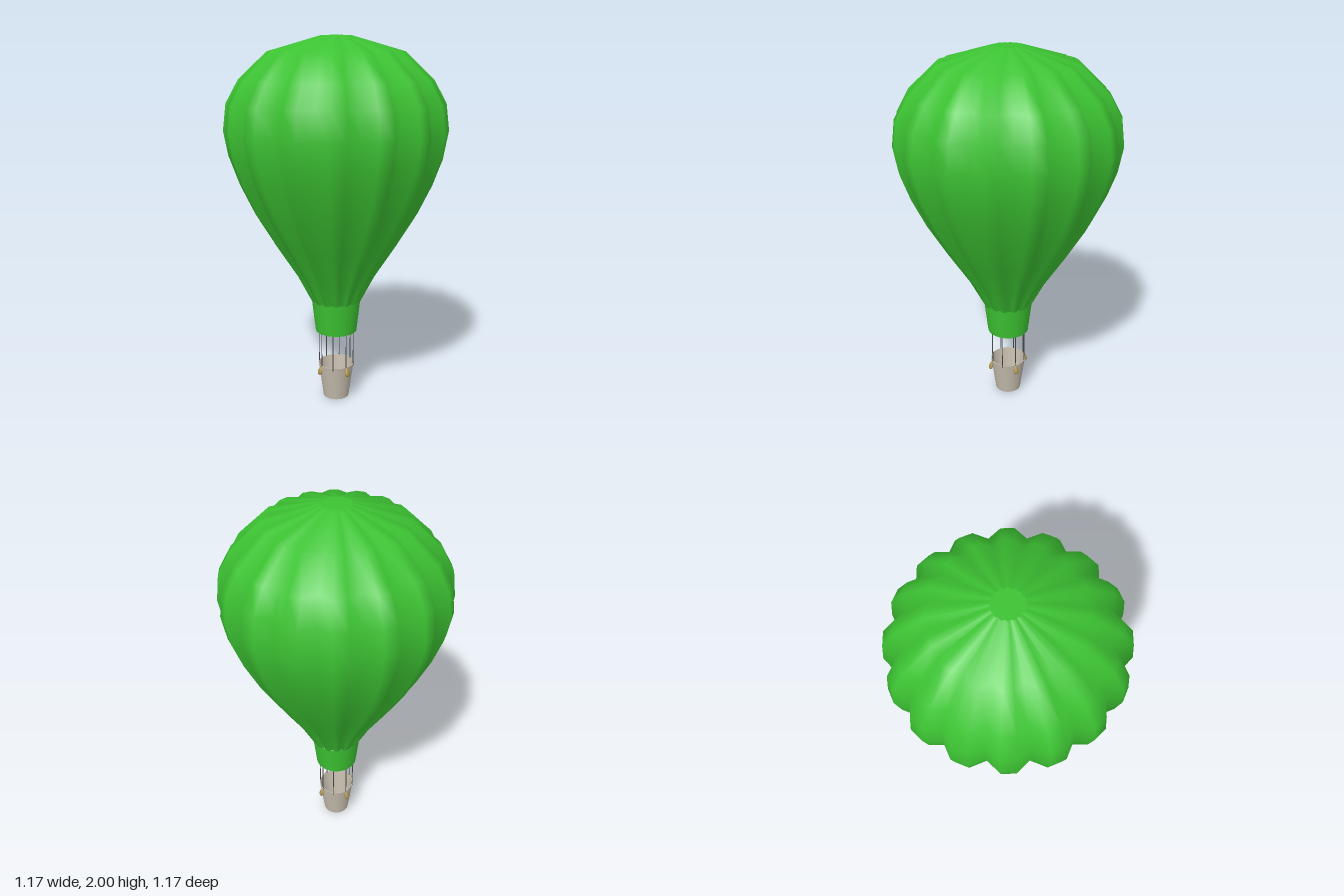
import * as THREE from 'three';
import { mergeVertices, toCreasedNormals } from 'three/addons/utils/BufferGeometryUtils.js';

const material = (color) => new THREE.MeshStandardMaterial({ color, side: THREE.DoubleSide });
const green = material(0x3cc232);
const wicker = material(0xc4bbac);
const rope = material(0x4a4a4a);
const canvas = material(0xa8924e);

const GORES = 16;
const lathe = (profile, segments) =>
  new THREE.LatheGeometry(profile.map(([r, y]) => new THREE.Vector2(r, y)), segments);

function addMesh(parent, name, geometry, mat) {
  const mesh = new THREE.Mesh(geometry, mat);
  mesh.name = name;
  parent.add(mesh);
  return mesh;
}

// Pull every third meridian inward to make the seams between the gores
function scallop(geometry) {
  const p = geometry.attributes.position;
  for (let i = 0; i < p.count; i++) {
    const step = Math.round(Math.atan2(p.getX(i), p.getZ(i)) / (Math.PI * 2) * GORES * 3);
    const k = step % 3 === 0 ? 0.905 : 1;
    p.setXYZ(i, p.getX(i) * k, p.getY(i), p.getZ(i) * k);
  }
  geometry.deleteAttribute('uv');
  geometry.deleteAttribute('normal');
  const merged = mergeVertices(geometry, 1e-5);
  merged.computeVertexNormals();
  return merged;
}

export function createModel() {
  const model = new THREE.Group();
  model.name = 'hotAirBalloon';

  // Gored envelope with a flat crown
  const envelope = [
    [0.139, 0.58], [0.219, 0.735], [0.337, 0.92], [0.444, 1.1], [0.518, 1.255],
    [0.566, 1.39], [0.589, 1.52], [0.571, 1.66], [0.504, 1.78], [0.355, 1.92], [0.078, 2],
  ];
  addMesh(model, 'envelope', scallop(lathe(envelope, GORES * 3)), green);
  addMesh(model, 'crown', scallop(lathe([[0.078, 2], [0, 2]], GORES * 3)), green);

  // Open skirt below the envelope
  addMesh(model, 'skirt', lathe([[0.115, 0.4], [0.136, 0.585]], 32), green);

  // Hollow basket
  const basket = [[0, 0], [0.072, 0], [0.1, 0.2], [0.096, 0.2], [0.069, 0.008], [0, 0.008]];
  addMesh(model, 'basket', toCreasedNormals(lathe(basket, 32), 0.6), wicker);

  // Suspension ropes
  const ropes = new THREE.Group();
  ropes.name = 'ropes';
  model.add(ropes);
  const ropeGeometry = new THREE.CylinderGeometry(0.0025, 0.0025, 0.25, 8);
  for (let i = 0; i < 8; i++) {
    const a = (i * Math.PI) / 4;
    addMesh(ropes, 'rope', ropeGeometry, rope)
      .position.set(0.098 * Math.sin(a), 0.31, 0.098 * Math.cos(a));
  }

  // Teardrop sandbags hanging outward from the rim
  const bagGeometry = lathe(
    [[0, -0.052], [0.009, -0.05], [0.015, -0.042], [0.016, -0.032], [0.011, -0.015], [0.004, -0.003], [0, 0]], 12);
  bagGeometry.scale(1, 1, 0.65);
  for (let i = 0; i < 4; i++) {
    const pivot = new THREE.Group();
    pivot.name = 'sandbagHanger';
    pivot.rotation.y = (i * Math.PI) / 2;
    const bag = addMesh(pivot, 'sandbag', bagGeometry, canvas);
    bag.position.set(0, 0.2, 0.102);
    bag.rotation.x = -0.25;
    model.add(pivot);
  }
  return model;
}
